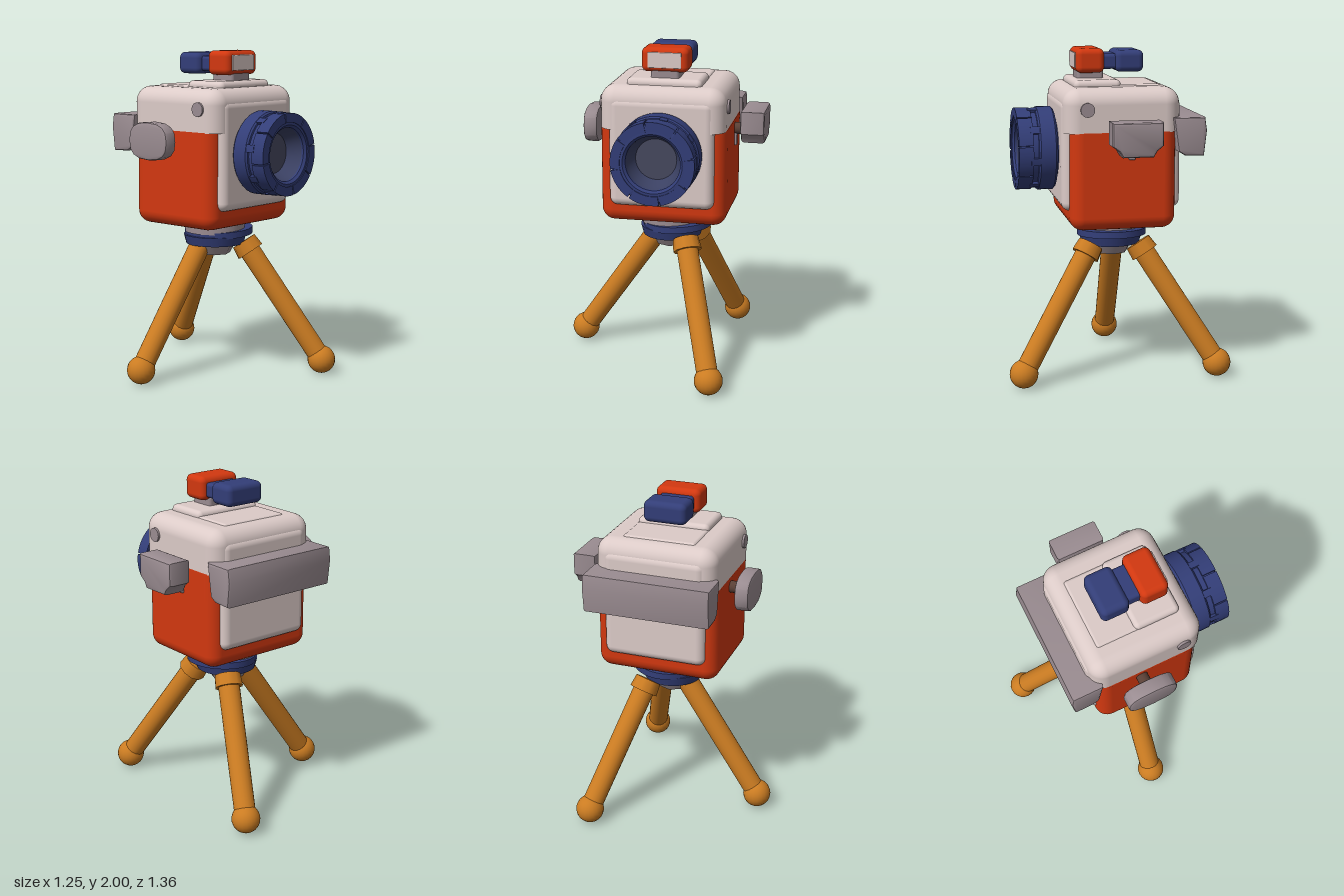
import * as THREE from 'three';
import { toCreasedNormals } from 'three/addons/utils/BufferGeometryUtils.js';
import { RoundedBoxGeometry } from 'three/addons/geometries/RoundedBoxGeometry.js';

const mat = (name, color) => {
  const m = new THREE.MeshStandardMaterial({ color });
  m.name = name;
  return m;
};

export function createModel() {
  const white = mat('warm white', 0xdccbc8);
  const grey = mat('grey', 0x9a8c91);
  const red = mat('red orange', 0xd23810);
  const blue = mat('navy blue', 0x333e78);
  const wood = mat('amber', 0xcb7c22);
  const brown = mat('brown', 0x5a4036);
  const dark = mat('dark slate', 0x3a4062);
  const glass = mat('lens glass', 0x46485f);

  const model = new THREE.Group();
  model.name = 'tripodCamera';
  const add = (name, geo, material, parent = model) => {
    const m = new THREE.Mesh(geo, material);
    m.name = name;
    parent.add(m);
    return m;
  };
  // Rounded box given by its limits on each axis
  const box = (name, [x0, x1], [y0, y1], [z0, z1], r, material) => {
    const g = new RoundedBoxGeometry(x1 - x0, y1 - y0, z1 - z0, 4, r);
    g.translate((x0 + x1) / 2, (y0 + y1) / 2, (z0 + z1) / 2);
    return add(name, g, material);
  };
  // Cut a rounded box flat at a height
  const clampY = (mesh, lo, hi) => {
    const p = mesh.geometry.attributes.position;
    for (let i = 0; i < p.count; i++) p.setY(i, Math.min(hi, Math.max(lo, p.getY(i))));
  };
  // Cylinder between two points
  const rod = (name, a, b, ra, rb, material, sides = 20) => {
    const A = new THREE.Vector3(...a), B = new THREE.Vector3(...b);
    const d = B.clone().sub(A);
    const m = add(name, new THREE.CylinderGeometry(rb, ra, d.length(), sides), material);
    m.position.copy(A).addScaledVector(d, 0.5);
    m.quaternion.setFromUnitVectors(new THREE.Vector3(0, 1, 0), d.normalize());
    return m;
  };
  const lathe = (pts, seg = 48) =>
    toCreasedNormals(new THREE.LatheGeometry(pts.map(p => new THREE.Vector2(...p)), seg), 0.6);
  // Prism along x from a (z, y) outline, with softened edges
  const prismX = (name, outline, x0, x1, bevel, material) => {
    const s = new THREE.Shape(outline.map(([z, y]) => new THREE.Vector2(-z, y)));
    const g = new THREE.ExtrudeGeometry(s, {
      depth: x1 - x0 - 2 * bevel, bevelThickness: bevel, bevelSize: bevel,
      bevelOffset: -bevel, bevelSegments: 2,
    });
    g.translate(0, 0, x0 + bevel).rotateY(Math.PI / 2);
    return add(name, toCreasedNormals(g, 0.6), material);
  };

  // Body: lower shell, upper cap, and a core showing as front and back panels
  clampY(box('lowerShell', [-0.335, 0.425], [0.945, 1.75], [-0.325, 0.31], 0.08, red), 0, 1.53);
  clampY(box('upperCap', [-0.33, 0.42], [1.2, 1.785], [-0.352, 0.345], 0.095, white), 1.526, 2);
  box('frontBackPanels', [-0.27, 0.36], [1.06, 1.72], [-0.362, 0.352], 0.05, white);
  box('topPanel', [-0.18, 0.27], [1.74, 1.794], [-0.26, 0.2], 0.02, white);
  box('topPlate', [-0.18, 0.27], [1.75, 1.822], [-0.02, 0.26], 0.03, white);
  for (const [x0, x1] of [[-0.342, -0.3], [0.39, 0.432]])
    rod('sideButton', [x0, 1.665, 0.21], [x1, 1.665, 0.21], 0.042, 0.042, grey);

  // Rear bar
  prismX('rearBar', [[-0.3, 1.61], [-0.49, 1.61], [-0.502, 1.53], [-0.485, 1.38],
    [-0.37, 1.385], [-0.33, 1.41]], -0.345, 0.435, 0.015, grey);

  // Side knobs and shafts
  rod('leftShaft', [0.38, 1.475, -0.055], [0.5, 1.475, -0.055], 0.036, 0.036, brown);
  rod('rightShaft', [-0.42, 1.475, -0.055], [-0.3, 1.475, -0.055], 0.036, 0.036, brown);
  prismX('leftKnob', [[0.1, 1.61], [0.1, 1.475], [0.06, 1.445], [0.04, 1.41], [-0.14, 1.41],
    [-0.16, 1.445], [-0.197, 1.475], [-0.197, 1.61]], 0.475, 0.622, 0.018, grey);
  box('leftTab', [0.415, 0.44], [1.37, 1.47], [-0.07, -0.03], 0.008, grey);
  const disc = [];
  for (let i = 0; i < 16; i++) {
    const a = i / 16 * Math.PI * 2, c = Math.cos(a), s = Math.sin(a);
    disc.push([-0.055 - 0.156 * Math.sign(c) * Math.abs(c) ** 0.75,
      1.473 + 0.113 * Math.sign(s) * Math.abs(s) ** 0.75]);
  }
  prismX('rightKnob', disc, -0.488, -0.402, 0.014, grey);

  // Lens barrel with stepped rings and an open, recessed front
  const lens = new THREE.Group();
  lens.name = 'lens';
  lens.position.set(0.046, 1.398, 0);
  model.add(lens);
  const alongZ = g => g.rotateX(Math.PI / 2);
  add('lensBarrel', alongZ(lathe([[0.2, 0.32], [0.2, 0.362], [0.24, 0.362], [0.251, 0.374],
    [0.251, 0.462], [0.242, 0.472], [0.232, 0.474], [0.232, 0.58], [0.222, 0.586],
    [0.175, 0.586], [0.16, 0.572], [0.158, 0.54]])), blue, lens);
  add('lensCone', alongZ(lathe([[0.159, 0.56], [0.15, 0.525], [0.12, 0.47]])), dark, lens);
  add('lensGlass', new THREE.CircleGeometry(0.125, 40), glass, lens).position.z = 0.472;
  const arc = (r0, r1, a0, a1, z0, z1) => {
    const s = new THREE.Shape();
    s.absarc(0, 0, r1, a0, a1, false);
    s.absarc(0, 0, r0, a1, a0, true);
    const g = new THREE.ExtrudeGeometry(s, { depth: z1 - z0, bevelEnabled: false, curveSegments: 10 });
    return toCreasedNormals(g.translate(0, 0, z0), 0.6);
  };
  for (let i = 0; i < 8; i++) {
    const a = i * Math.PI / 4 + 0.2;
    add('gripSegment', arc(0.19, 0.246, a, a + 0.75, 0.505, 0.592), blue, lens);
    add('gripTab', arc(0.2, 0.249, a + 0.3, a + 0.48, 0.46, 0.52), blue, lens);
  }

  // Viewfinder on top
  box('finderNeck', [-0.04, 0.13], [1.79, 1.88], [0.06, 0.22], 0.02, grey);
  box('finderFront', [-0.095, 0.185], [1.855, 2], [0.063, 0.232], 0.035, red);
  box('finderWindow', [-0.055, 0.145], [1.882, 1.975], [0.229, 0.238], 0.004, white);
  box('finderBridge', [-0.06, 0.15], [1.875, 1.965], [-0.03, 0.09], 0.02, blue);
  box('finderEyepiece', [-0.09, 0.175], [1.857, 1.987], [-0.178, -0.005], 0.035, blue);

  // Tripod head
  rod('headPlate', [0.05, 0.88, 0.005], [0.05, 0.955, 0.005], 0.185, 0.185, grey, 28);
  const upper = rod('upperRing', [0.085, 0.86, 0.005], [0.085, 0.9, 0.005], 0.212, 0.212, blue, 32);
  upper.rotateZ(0.05);
  rod('lowerRing', [0.05, 0.805, 0.005], [0.05, 0.862, 0.005], 0.18, 0.195, blue, 32);
  rod('hub', [0.045, 0.74, 0], [0.045, 0.81, 0], 0.1, 0.14, grey, 8);

  // Legs with ball feet, collars on the two that face left
  const legs = [
    [[0.165, 0.8, 0.155], [0.385, 0.09, 0.595], true],
    [[0.165, 0.8, -0.155], [0.385, 0.09, -0.595], true],
    [[-0.055, 0.79, -0.03], [-0.538, 0.09, -0.07], false],
  ];
  for (const [top, foot, collar] of legs) {
    rod('leg', foot, top, 0.064, 0.066, wood);
    add('foot', new THREE.SphereGeometry(0.086, 20, 14), wood).position.set(...foot);
    const at = t => top.map((v, i) => v + (foot[i] - v) * t);
    if (collar) rod('legCollar', at(0.07), at(-0.02), 0.088, 0.08, wood, 10);
  }
  return model;
}
